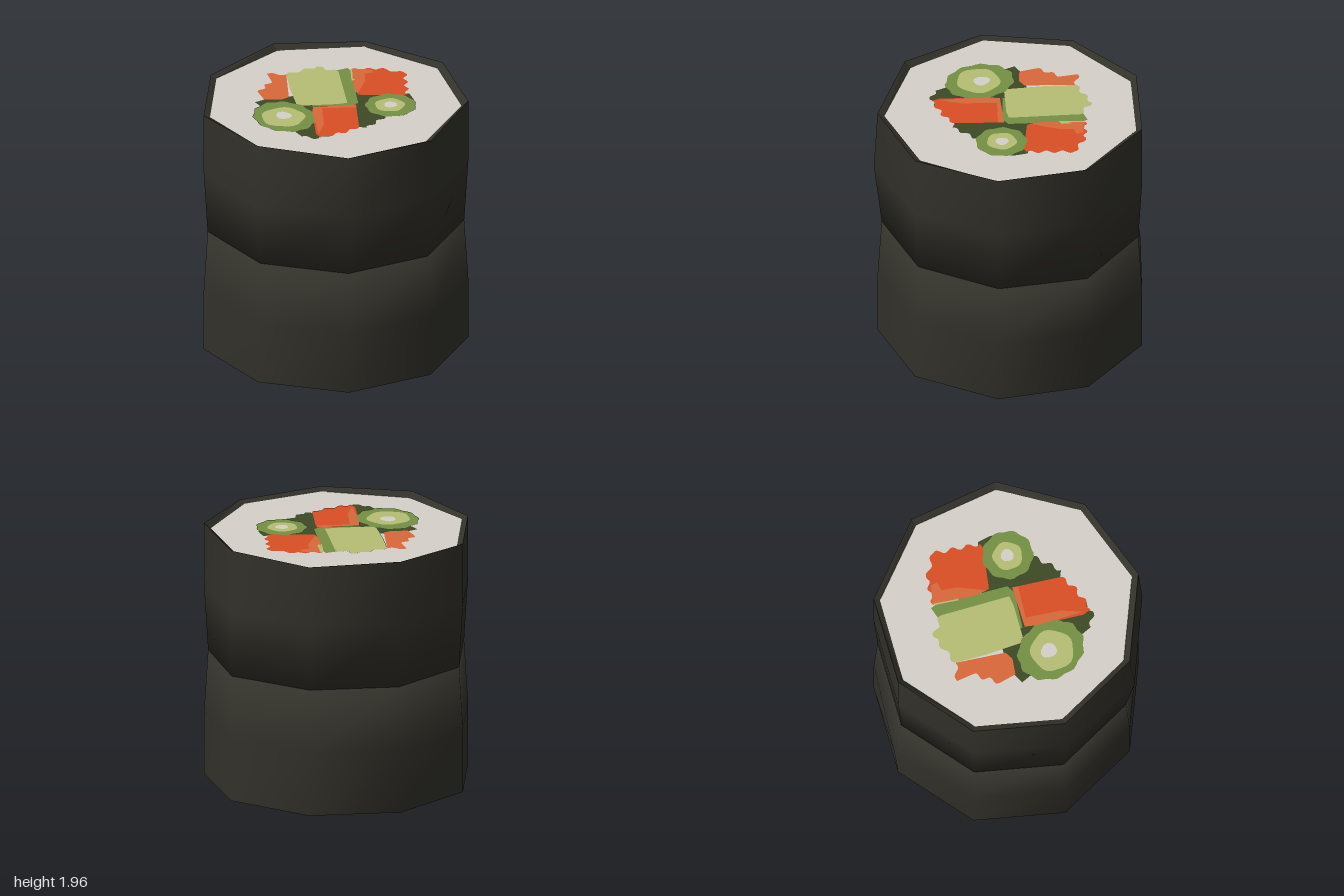
import * as THREE from 'three';

const material = (name, color) => {
  const m = new THREE.MeshStandardMaterial({ color });
  m.name = name;
  return m;
};

const add = (parent, name, geometry, mat) => {
  const mesh = new THREE.Mesh(geometry, mat);
  mesh.name = name;
  parent.add(mesh);
  return mesh;
};

// Skin through nine-sided rings listed from the bottom up
function loft(rings, flat = false) {
  const N = rings[0].length, index = [];
  for (let j = 0; j < rings.length - 1; j++) {
    for (let i = 0; i < N; i++) {
      const a = j * N + i, b = j * N + (i + 1) % N;
      index.push(b, a, a + N, b, a + N, b + N);
    }
  }
  let g = new THREE.BufferGeometry();
  g.setAttribute('position', new THREE.Float32BufferAttribute(rings.flat(2), 3));
  g.setIndex(index);
  if (flat) g = g.toNonIndexed();
  g.computeVertexNormals();
  return g;
}

// Flat face from [x, z] points, facing up (dir 1) or down (dir -1)
function face(points, dir) {
  const shape = new THREE.Shape(points.map(([x, z]) => new THREE.Vector2(x, -dir * z)));
  return new THREE.ShapeGeometry(shape).rotateX(-dir * Math.PI / 2);
}

// Polygon whose listed edges are torn into small waves
function torn(corners, wavyEdges) {
  return corners.flatMap(([x, z], i) => {
    if (!wavyEdges.includes(i)) return [[x, z]];
    const [x2, z2] = corners[(i + 1) % corners.length];
    const dx = x2 - x, dz = z2 - z, length = Math.hypot(dx, dz);
    const waves = Math.max(2, Math.round(length / 0.06)), steps = waves * 4;
    return Array.from({ length: steps }, (_, k) => {
      const t = k / steps, d = 0.016 * Math.sin(t * waves * Math.PI) / length;
      return [x + dx * t + dz * d, z + dz * t - dx * d];
    });
  });
}

// Ellipse with a wavy edge
function slice(cx, cz, rx, rz, wave, waves) {
  return Array.from({ length: 44 }, (_, i) => {
    const a = i / 44 * Math.PI * 2, k = 1 + wave * Math.sin(a * waves);
    return [cx + Math.cos(a) * rx * k, cz + Math.sin(a) * rz * k];
  });
}

export function createModel() {
  const nori = material('seaweed', 0x32312a);
  const rice = material('rice', 0xd6d2ca);
  const salmon = material('salmon', 0xdb4f25);
  const paleSalmon = material('pale salmon', 0xda693a);
  const avocado = material('avocado', 0xb7be75);
  const rind = material('green rind', 0x759145);
  const leaf = material('dark leaf', 0x3e4926);

  // Nine-sided outline as [x, z], from the back clockwise seen from above
  const rim = [[0.04, -0.965], [0.67, -0.69], [0.98, -0.08], [0.82, 0.59], [0.27, 1],
    [-0.41, 0.965], [-0.91, 0.48], [-0.99, -0.2], [-0.61, -0.77]];
  const rimHeights = [1.955, 1.937, 1.95, 1.957, 1.935, 1.94, 1.955, 1.935, 1.935];
  const scaled = (s) => rim.map(([x, z]) => [x * s, z * s]);
  const inner = scaled(0.952);
  const bulged = (changes) => rim.map((p, i) => changes[i] || p);
  const waist = scaled(0.97);
  waist[2][0] = 0.975;
  const level = (points, y) => points.map(([x, z]) => [x, y, z]);
  const lipRing = rim.map(([x, z], i) => [x, rimHeights[i], z]);

  // Cut end of a roll: rice disc with thin layers of filling laid on it
  function cutEnd(name, outline, y, dir) {
    const end = new THREE.Group();
    end.name = name;
    end.position.y = y;
    const lay = (part, mat, layer, points) => {
      add(end, part, face(points, dir), mat).position.y = dir * layer * 0.0015;
    };
    lay('riceDisc', rice, 0, outline);
    lay('leafBed', leaf, 1, torn([[-.53, -.24], [-.4, -.25], [.3, 0], [.54, .2], [.52, .3],
      [-.02, .54], [-.06, .5], [-.42, .52], [-.51, .43]], [4, 6, 7]));

    // Long pieces
    lay('backSalmon', paleSalmon, 2, torn([[-.22, -.61], [-.1, -.53], [-.27, -.19], [-.34, -.18],
      [-.45, -.24], [-.43, -.37], [-.25, -.49]], [0, 5]));
    lay('avocadoRind', rind, 2, [[.25, -.41], [.35, -.4], [.35, -.36], [.13, .15], [.06, .16], [-.2, .03]]);
    lay('avocadoFlesh', avocado, 3, torn([[-.1, -.53], [.16, -.53], [.26, -.38], [.06, .11], [-.02, .09],
      [-.27, -.02], [-.28, -.06], [-.19, -.32]], [0, 1]));
    lay('avocadoSliver', avocado, 3, [[.27, -.2], [.35, -.36], [.38, -.37], [.31, -.2]]);
    lay('leftSalmon', salmon, 2, torn([[.36, -.37], [.55, -.28], [.68, -.12], [.52, .2], [.48, .2],
      [.2, .03], [.23, -.1]], [0, 1, 2]));
    lay('leftSalmonEdge', paleSalmon, 3, [[.37, -.37], [.49, -.29], [.48, -.24], [.41, -.25],
      [.36, -.15], [.2, .01], [.23, -.1]]);
    lay('frontSalmon', salmon, 3, torn([[-.2, .05], [.1, .17], [-.06, .5], [-.17, .53], [-.4, .52],
      [-.4, .45], [-.25, .13]], [2, 3]));
    lay('frontSalmonEdge', paleSalmon, 4, [[-.2, .05], [.1, .17], [.08, .21], [-.15, .1],
      [-.27, .34], [-.38, .46], [-.25, .13]]);

    // Cucumber rounds
    lay('largeCucumberSkin', rind, 4, slice(-.465, .085, .22, .26, .035, 11));
    lay('largeCucumberFlesh', avocado, 5, slice(-.475, .09, .16, .16, .04, 5));
    lay('largeCucumberCore', rice, 6, slice(-.46, .07, .055, .062, .05, 3));
    lay('smallCucumberSkin', rind, 4, slice(.32, .305, .187, .19, .035, 9));
    lay('smallCucumberFlesh', avocado, 5, slice(.315, .3, .11, .11, .04, 5));
    lay('smallCucumberCore', rice, 6, slice(.32, .3, .048, .048, .05, 3));
    return end;
  }

  // Lower roll, cut end facing down
  const lower = new THREE.Group();
  lower.name = 'lowerRoll';
  add(lower, 'seaweedWrap', loft([
    level(rim, 0), level(bulged({ 0: [0.04, -1] }), 0.49), level(waist, 0.969), level(scaled(0.01), 0.969),
  ]), nori);
  lower.add(cutEnd('bottomEnd', rim, 0.01, -1));

  // Upper roll, cut end facing up inside a thin lip
  const upper = new THREE.Group();
  upper.name = 'upperRoll';
  add(upper, 'seaweedWrap', loft([
    level(scaled(0.01), 0.971), level(waist, 0.971),
    level(bulged({ 5: [-0.43, 0.985], 6: [-0.94, 0.5] }), 1.46), lipRing,
  ]), nori);
  add(upper, 'seaweedLip', loft([lipRing, level(inner, 1.915)], true), nori);
  upper.add(cutEnd('topEnd', inner, 1.915, 1));

  const model = new THREE.Group();
  model.name = 'stackedRolls';
  model.add(lower, upper);
  return model;
}
